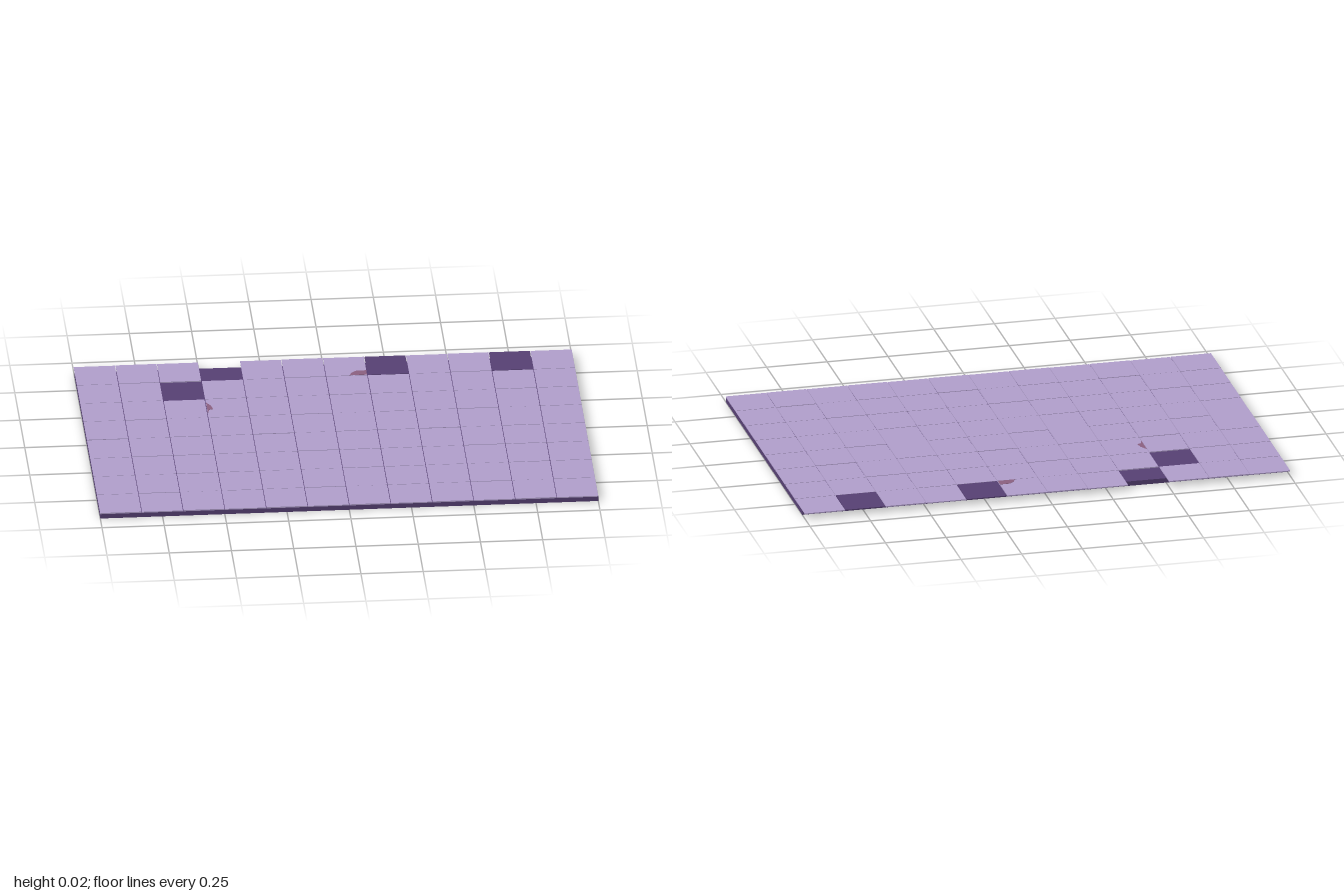
import * as THREE from 'three';

const COLS = 12, ROWS = 8, TILE = 1 / 6, GAP = 0.003;
const BASE_TOP = 0.019, THICK = 0.004;

const lilac = new THREE.MeshStandardMaterial({ color: 0xb09ecb });
lilac.name = 'lilac tile';
const purple = new THREE.MeshStandardMaterial({ color: 0x564073 });
purple.name = 'dark purple';
const mauve = new THREE.MeshStandardMaterial({ color: 0x8a6080 });
mauve.name = 'mauve chip';

// Cells as 'column,row', counted from the back right corner
const missing = new Set(['3,0', '2,1']);
const dark = new Set(['7,0', '10,0']);

function addMesh(group, name, geometry, material, x, y, z) {
  const mesh = new THREE.Mesh(geometry, material);
  mesh.name = name;
  mesh.position.set(x, y, z);
  group.add(mesh);
  return mesh;
}

// Thin flat patch from [x, z] outline points
function addChip(group, name, points, y) {
  const shape = new THREE.Shape(points.map(([x, z]) => new THREE.Vector2(x, -z)));
  const geometry = new THREE.ExtrudeGeometry(shape, { depth: 0.001, bevelEnabled: false });
  geometry.rotateX(-Math.PI / 2);
  addMesh(group, name, geometry, mauve, 0, y, 0);
}

export function createModel() {
  const model = new THREE.Group();
  model.name = 'tiledFloor';

  // Slab stops short of the back edge, so the last row overhangs
  const front = ROWS * TILE / 2, back = -0.62;
  addMesh(model, 'baseSlab', new THREE.BoxGeometry(2, BASE_TOP, front - back), purple,
    0, BASE_TOP / 2, (front + back) / 2);

  // Tiles with narrow joints, laid very slightly uneven
  const tiles = new THREE.Group();
  tiles.name = 'tiles';
  model.add(tiles);
  for (let row = 0; row < ROWS; row++) {
    for (let col = 0; col < COLS; col++) {
      const key = `${col},${row}`;
      if (missing.has(key)) continue;
      const lift = ((col * 7 + row * 5 + col * row) % 4) * 0.0004;
      // Outer edges run flush with the slab
      const x0 = -1 + col * TILE + (col > 0 ? GAP / 2 : 0);
      const x1 = -1 + (col + 1) * TILE - (col < COLS - 1 ? GAP / 2 : 0);
      const z0 = -front + row * TILE + (row > 0 ? GAP / 2 : 0);
      const z1 = -front + (row + 1) * TILE - (row < ROWS - 1 ? GAP / 2 : 0);
      addMesh(tiles, dark.has(key) ? 'darkTile' : 'tile',
        new THREE.BoxGeometry(x1 - x0, THICK + lift, z1 - z0),
        dark.has(key) ? purple : lilac,
        (x0 + x1) / 2, BASE_TOP + (THICK + lift) / 2, (z0 + z1) / 2);
    }
  }

  // Broken corners and edges
  const top = BASE_TOP + THICK + 0.0007;
  addChip(model, 'backChip', [[0.095, -0.503], [0.165, -0.503], [0.165, -0.542],
    [0.125, -0.542], [0.105, -0.525]], top);
  addChip(model, 'sideChip', [[-0.498, -0.3], [-0.498, -0.205], [-0.49, -0.235],
    [-0.475, -0.24], [-0.48, -0.27]], top);

  return model;
}
